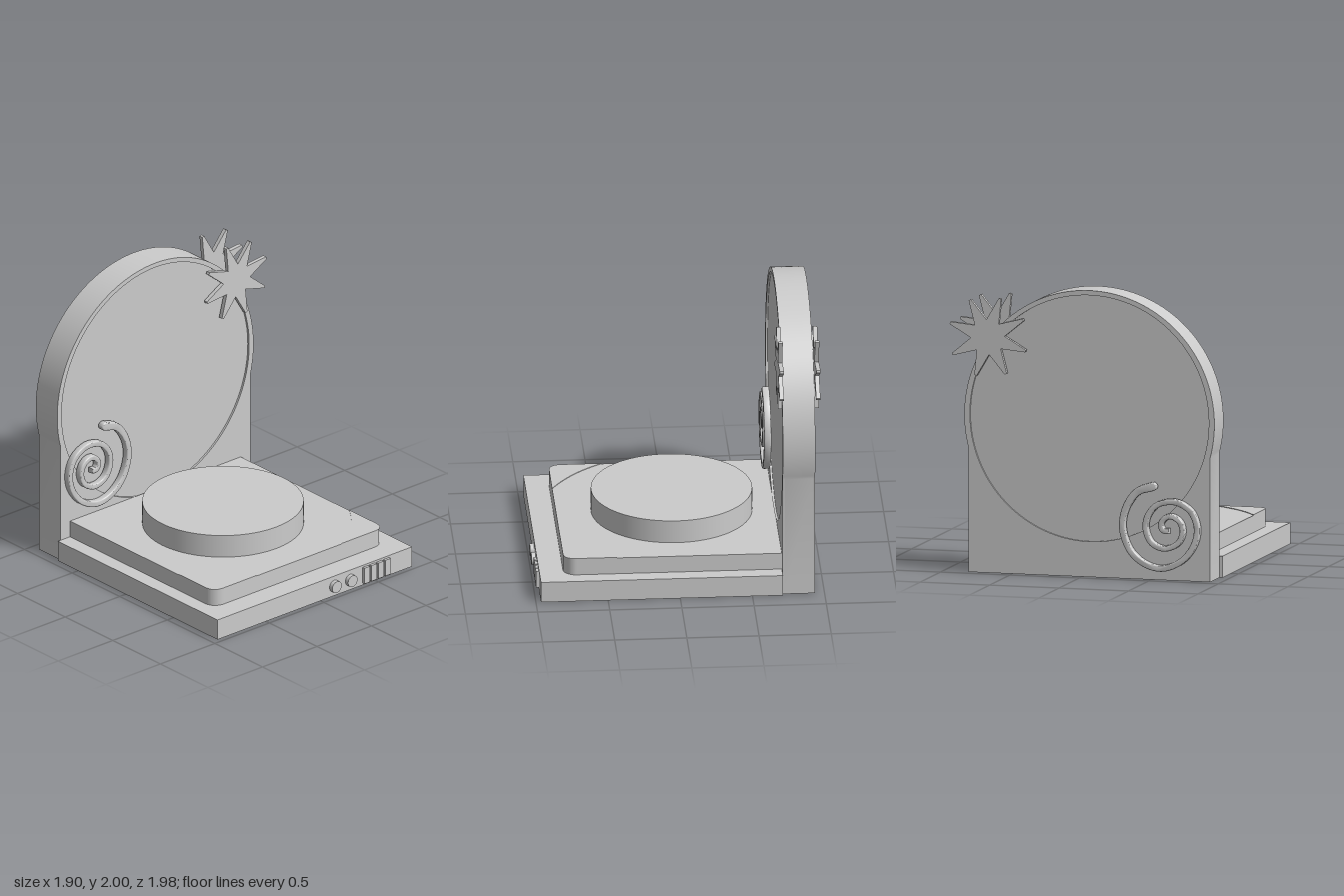
import * as THREE from 'three';
import { toCreasedNormals } from 'three/addons/utils/BufferGeometryUtils.js';

const material = new THREE.MeshStandardMaterial({ color: 0xcccccc });
const hollow = new THREE.MeshStandardMaterial({ color: 0xcccccc, side: THREE.DoubleSide });
const CX = -0.053; // centre line of base and backboard

export function createModel() {
  const model = new THREE.Group();

  const add = (name, geometry, x = 0, y = 0, z = 0, mat = material) => {
    const mesh = new THREE.Mesh(geometry, mat);
    mesh.name = name;
    mesh.position.set(x, y, z);
    model.add(mesh);
    return mesh;
  };
  const extrude = (shape, depth, bevel = 0) => {
    const g = new THREE.ExtrudeGeometry(shape, {
      depth: depth - 2 * bevel, curveSegments: 64, bevelEnabled: bevel > 0,
      bevelThickness: bevel, bevelSize: bevel, bevelOffset: -bevel, bevelSegments: 3,
    });
    g.translate(0, 0, bevel);
    return toCreasedNormals(g, 0.6);
  };

  // Base: a shell open underneath
  const baseGeometry = new THREE.BoxGeometry(1.785, 0.15, 1.675);
  const index = Array.from(baseGeometry.index.array);
  index.splice(18, 6);
  baseGeometry.setIndex(index);
  baseGeometry.clearGroups();
  add('base', baseGeometry, CX, 0.075, 0.1275, hollow);

  // Upper step with rounded front corners (drawn in x, -z and laid flat)
  const hw = 0.783, front = 0.8, r = 0.09;
  const step = new THREE.Shape();
  step.moveTo(hw, 0.71);
  step.lineTo(-hw, 0.71);
  step.lineTo(-hw, -front + r);
  step.absarc(-hw + r, -front + r, r, Math.PI, Math.PI * 1.5);
  step.lineTo(hw - r, -front);
  step.absarc(hw - r, -front + r, r, Math.PI * 1.5, Math.PI * 2);
  add('step', extrude(step, 0.12), CX, 0.15, 0).rotation.x = -Math.PI / 2;

  // Slightly raised front corners of the step
  for (const side of [-1, 1]) {
    const corner = new THREE.Shape();
    corner.moveTo(side * hw, -0.43);
    corner.lineTo(side * hw, -front + r);
    corner.quadraticCurveTo(side * hw, -front, side * (hw - r), -front);
    corner.lineTo(side * 0.39, -front);
    corner.quadraticCurveTo(side * 0.64, -0.66, side * hw, -0.43);
    add('stepCorner', extrude(corner, 0.004), CX, 0.27, 0).rotation.x = -Math.PI / 2;
  }

  // Round platform
  add('platform', new THREE.CylinderGeometry(0.558, 0.558, 0.165, 96), CX, 0.3525, 0);

  // Front controls
  for (const x of [0.125, 0.27]) {
    const knob = add('knob', new THREE.CylinderGeometry(0.043, 0.043, 0.035, 32), x, 0.075, 0.977);
    knob.rotation.x = Math.PI / 2;
  }
  for (let i = 0; i < 4; i++) {
    add('controlBar', new THREE.BoxGeometry(0.05, 0.12, 0.025), 0.41 + i * 0.0635, 0.075, 0.9725);
  }

  // Backboard: solid core with a shallow round recess on both faces
  const boardShape = () => {
    const s = new THREE.Shape();
    const half = 0.87, R = 0.9, a = Math.acos(half / R);
    s.moveTo(-half, 0);
    s.lineTo(half, 0);
    s.absarc(0, 1.1, R, -a, Math.PI + a);
    s.lineTo(-half, 0);
    return s;
  };
  add('backboard', extrude(boardShape(), 0.195), CX, 0, -0.92);
  const rim = boardShape();
  rim.holes.push(new THREE.Path().absarc(0, 1.107, 0.86, 0, Math.PI * 2, true));
  const rimGeometry = extrude(rim, 0.015);
  add('frontRim', rimGeometry, CX, 0, -0.725);
  add('backRim', rimGeometry, CX, 0, -0.935);

  // Eight-pointed stars with blunt tips
  const star = new THREE.Shape();
  for (let i = 0; i < 8; i++) {
    const a = THREE.MathUtils.degToRad(18 + i * 45), v = a + Math.PI / 8;
    for (const da of [-0.03, 0.03]) {
      const x = 0.285 * Math.cos(a + da), y = 0.285 * Math.sin(a + da);
      if (i === 0 && da < 0) star.moveTo(x, y);
      else star.lineTo(x, y);
    }
    star.lineTo(0.122 * Math.cos(v), 0.122 * Math.sin(v));
  }
  star.closePath();
  const starGeometry = extrude(star, 0.03);
  add('frontStar', starGeometry, 0.67, 1.65, -0.712);
  add('backStar', starGeometry, 0.67, 1.65, -0.965);

  // Spirals: a ribbon offset to both sides of a winding curve, rounded over
  const path = new THREE.CatmullRomCurve3([
    [-0.55, 0.92], [-0.44, 0.88], [-0.355, 0.76], [-0.333, 0.62], [-0.39, 0.465], [-0.5, 0.375],
    [-0.625, 0.352], [-0.76, 0.41], [-0.85, 0.53], [-0.868, 0.65], [-0.825, 0.755], [-0.74, 0.81],
    [-0.665, 0.818], [-0.57, 0.785], [-0.508, 0.7], [-0.502, 0.61], [-0.545, 0.525], [-0.635, 0.49],
    [-0.73, 0.53], [-0.765, 0.61], [-0.745, 0.68], [-0.69, 0.715], [-0.64, 0.705], [-0.608, 0.655],
    [-0.63, 0.615], [-0.67, 0.615],
  ].map(([x, y]) => new THREE.Vector3(x, y, 0)));
  const outer = [], inner = [], N = 180;
  for (let i = 0; i <= N; i++) {
    const t = i / N, p = path.getPointAt(t), d = path.getTangentAt(t);
    const w = 0.03 - 0.007 * Math.min(1, t * 8) - 0.004 * t;
    outer.push(new THREE.Vector2(p.x - d.y * w, p.y + d.x * w));
    inner.unshift(new THREE.Vector2(p.x + d.y * w, p.y - d.x * w));
  }
  // Round cap on the outer end
  const cap = [], p0 = path.getPointAt(0), d0 = path.getTangentAt(0);
  for (let i = 1; i < 10; i++) {
    const a = (i / 10) * Math.PI, c = -0.03 * Math.cos(a), s = 0.03 * Math.sin(a);
    cap.push(new THREE.Vector2(p0.x - d0.y * c - d0.x * s, p0.y + d0.x * c - d0.y * s));
  }
  const cappedOutline = [...outer, ...inner, ...cap];
  const spiralGeometry = extrude(new THREE.Shape(cappedOutline), 0.05, 0.008);
  add('frontSpiral', spiralGeometry, 0, 0, -0.71);
  add('backSpiral', spiralGeometry, 0.03, -0.265, -0.988);

  return model;
}
